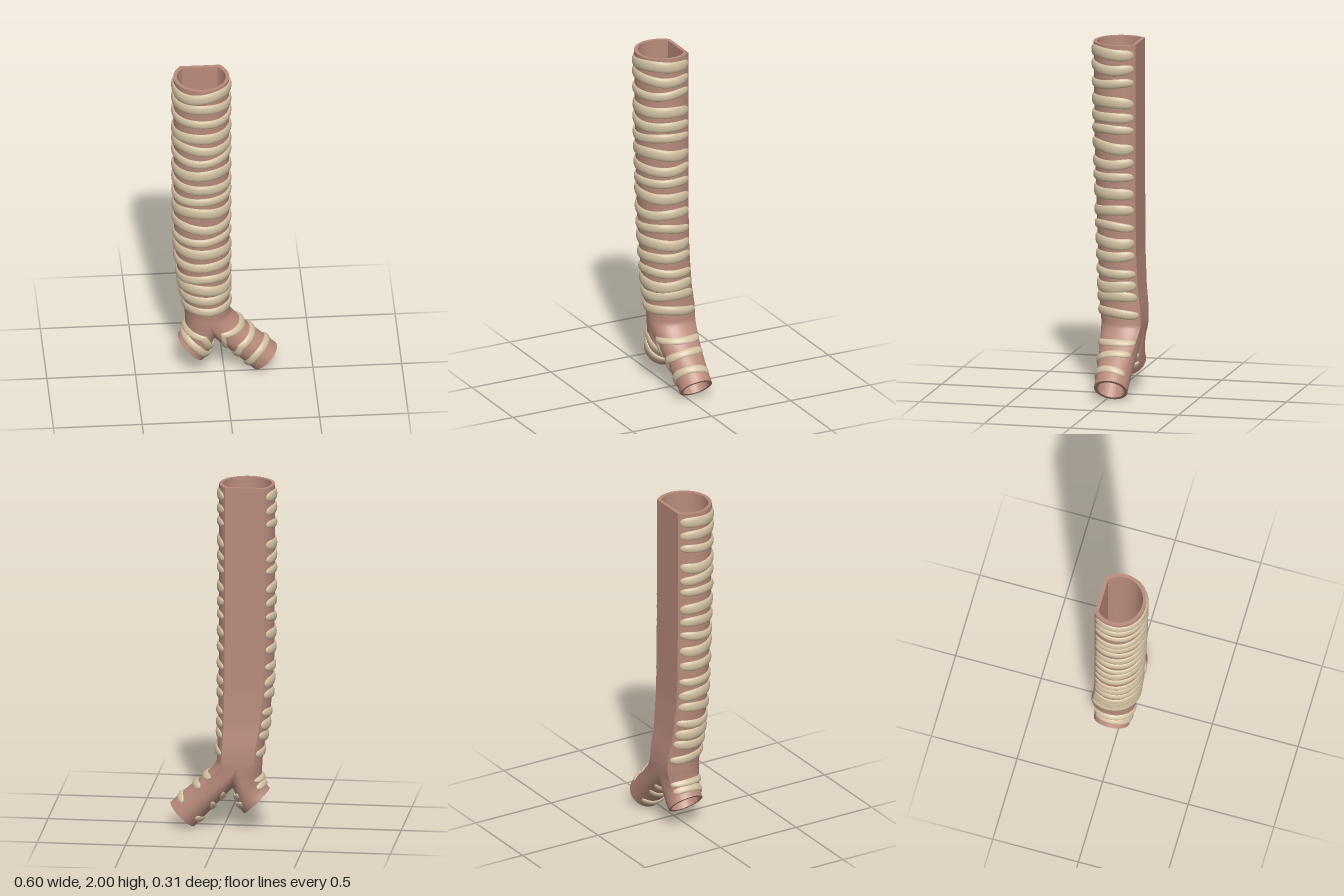
import * as THREE from 'three';
import { mergeGeometries, mergeVertices, toCreasedNormals } from 'three/addons/utils/BufferGeometryUtils.js';

const V = (x, y, z) => new THREE.Vector3(x, y, z);
const lerp = THREE.MathUtils.lerp;
const WALL = 0.02, Y0 = 0.4, SEG = 80;

// Windpipe profile: height, centre x, half width, front z, back z
const PROFILE = [
  [2, -0.129, 0.157, 0.145, -0.12],
  [1.5, -0.129, 0.157, 0.14, -0.12],
  [1.0, -0.127, 0.156, 0.126, -0.122],
  [0.8, -0.122, 0.152, 0.117, -0.125],
  [0.6, -0.111, 0.142, 0.109, -0.137],
  [0.48, -0.098, 0.131, 0.1, -0.152],
  [0.4, -0.092, 0.128, 0.092, -0.155],
];

function profileAt(y) {
  let i = 0;
  while (i < PROFILE.length - 2 && y < PROFILE[i + 1][0]) i++;
  const a = PROFILE[i], b = PROFILE[i + 1];
  const k = THREE.MathUtils.clamp((a[0] - y) / (a[0] - b[0]), 0, 1);
  return a.map((v, j) => lerp(v, b[j], k));
}

// D-shaped section, t runs front -> left -> flat back -> right
function section(y, t, inset = 0) {
  let [, cx, rx, front, back] = profileAt(y);
  rx -= inset; front -= inset; back += inset;
  const flat = 0.7, corner = Math.acos(-flat);
  const rz = (front - back) / (1 + flat);
  t = ((t % 1) + 1) % 1;
  const h = t < 0.5 ? t : 1 - t, side = t < 0.5 ? 1 : -1;
  if (h <= 0.4) {
    const a = (h / 0.4) * corner;
    return V(cx + side * rx * Math.sin(a), y, front - rz + rz * Math.cos(a));
  }
  return V(cx + side * rx * Math.sin(corner) * (0.5 - h) / 0.1, y, back);
}

// Surface from fn(u, t), with t closed
function grid(fn, nu, nt, flip = false) {
  const pos = [], idx = [];
  for (let i = 0; i <= nu; i++)
    for (let j = 0; j < nt; j++) pos.push(...fn(i / nu, j / nt).toArray());
  for (let i = 0; i < nu; i++)
    for (let j = 0; j < nt; j++) {
      const a = i * nt + j, b = i * nt + (j + 1) % nt, c = a + nt, d = b + nt;
      if (flip) idx.push(a, b, c, b, d, c);
      else idx.push(a, c, b, b, c, d);
    }
  const g = new THREE.BufferGeometry();
  g.setAttribute('position', new THREE.Float32BufferAttribute(pos, 3));
  g.setIndex(idx);
  return g;
}

// Branch: half of the D section plus a shared saddle, blending into a round end
function branchSurface({ side, end, r, dir, reach }) {
  const out = V(-side * dir.y, Math.abs(dir.x), 0);
  return (u, t, inset = 0) => {
    t = ((t % 1) + 1) % 1;
    let start, tangent;
    if (t <= 0.5) {
      start = section(Y0, side > 0 ? t : 1 - t, inset);
      tangent = V(0, -0.05, 0);
    } else {
      const k = (t - 0.5) * 2, sag = Math.sin(k * Math.PI);
      const back = section(Y0, 0.5, inset), front = section(Y0, 0, inset);
      start = V(lerp(front.x, -0.05, sag), Y0 - (inset ? 0.13 : 0.175) * sag,
        (front.z + back.z) / 2 - (front.z - back.z) / 2 * Math.cos(k * Math.PI));
      tangent = V(side * 0.03 * sag, -0.05 + 0.03 * sag, 0);
    }
    const a = t * Math.PI * 2, rr = r - inset * 0.9;
    const stop = end.clone().addScaledVector(out, rr * Math.sin(a));
    stop.z += rr * Math.cos(a);
    return new THREE.CubicBezierCurve3(start, start.clone().add(tangent),
      stop.clone().addScaledVector(dir, -reach), stop).getPoint(u);
  };
}

// Tapered C-shaped ring lying on a closed loop
function ringGeometry(loop, up, span, high, deep, flip) {
  const centre = V(0, 0, 0);
  for (let i = 0; i < 20; i++) centre.addScaledVector(loop(i / 20), 1 / 20);
  return mergeVertices(grid((u, t) => {
    const k = -Math.cos(u * Math.PI);
    const taper = Math.pow(Math.max(0, 1 - Math.pow(Math.abs(k), 14)), 0.5);
    const p = loop(k * span);
    const out = p.clone().sub(centre);
    out.addScaledVector(up, -out.dot(up)).normalize();
    const a = t * Math.PI * 2;
    return p.addScaledVector(out, Math.cos(a) * deep * taper)
      .addScaledVector(up, Math.sin(a) * high * taper);
  }, 64, 14, flip), 1e-5);
}

export function createModel() {
  const model = new THREE.Group();
  const tissue = new THREE.MeshStandardMaterial({ color: 0xb98b7c });
  tissue.name = 'pink tissue';
  const cartilage = new THREE.MeshStandardMaterial({ color: 0xd3c2a2 });
  cartilage.name = 'cream cartilage';

  const add = (name, geo, mat) => {
    const mesh = new THREE.Mesh(geo, mat);
    mesh.name = name;
    model.add(mesh);
  };

  const branches = [
    { name: 'left', side: 1, end: V(0.232, 0.067, -0.04), r: 0.095,
      dir: V(0.7, -0.714, 0).normalize(), reach: 0.16, rings: [0.4, 0.62, 0.85] },
    { name: 'right', side: -1, end: V(-0.187, 0.157, -0.036), r: 0.102,
      dir: V(-0.707, -0.707, 0).normalize(), reach: 0.08, rings: [0.52, 0.76] },
  ];

  // Hollow wall: windpipe, then both branches
  const height = u => lerp(2, Y0, u);
  const parts = [
    grid((u, t) => section(height(u), t), 40, SEG),
    grid((u, t) => section(height(u), t, WALL), 40, SEG, true),
    grid((u, t) => section(2, t, WALL * (1 - u)), 1, SEG),
  ];
  for (const b of branches) {
    const surface = branchSurface(b), mirrored = b.side < 0;
    parts.push(
      grid((u, t) => surface(u, t), 20, SEG, mirrored),
      grid((u, t) => surface(u, t, WALL), 20, SEG, !mirrored),
      grid((u, t) => surface(1, t, WALL * u), 1, SEG, mirrored));
    // Branch rings
    b.rings.forEach((u, i) => {
      const loop = t => surface(u + 0.025 * Math.sin(t * 7 + i * 2), t);
      add(b.name + 'BranchRing' + (i + 1),
        ringGeometry(loop, b.dir.clone().negate(), 0.4, 0.023, 0.011, mirrored), cartilage);
    });
  }
  add('airwayWall', toCreasedNormals(mergeGeometries(parts), 0.65), tissue);

  // Windpipe rings, gently wavy
  const ringHeights = [1.945, 1.865, 1.775, 1.668, 1.587, 1.51, 1.413, 1.32, 1.237,
    1.15, 1.05, 0.957, 0.87, 0.785, 0.69, 0.618, 0.552, 0.465];
  ringHeights.forEach((y, i) => {
    const loop = t => section(y + 0.007 * Math.sin(t * 9 + i * 2.3) + 0.004 * Math.sin(t * 17 + i), t);
    const high = 0.03 + 0.004 * Math.sin(i * 2.1 + 1);
    add('windpipeRing' + (i + 1), ringGeometry(loop, V(0, 1, 0), 0.388, high, 0.013, false), cartilage);
  });

  // Smooth shading on the rings
  model.traverse(o => {
    if (o.isMesh && o.material === cartilage) o.geometry.computeVertexNormals();
  });
  return model;
}
